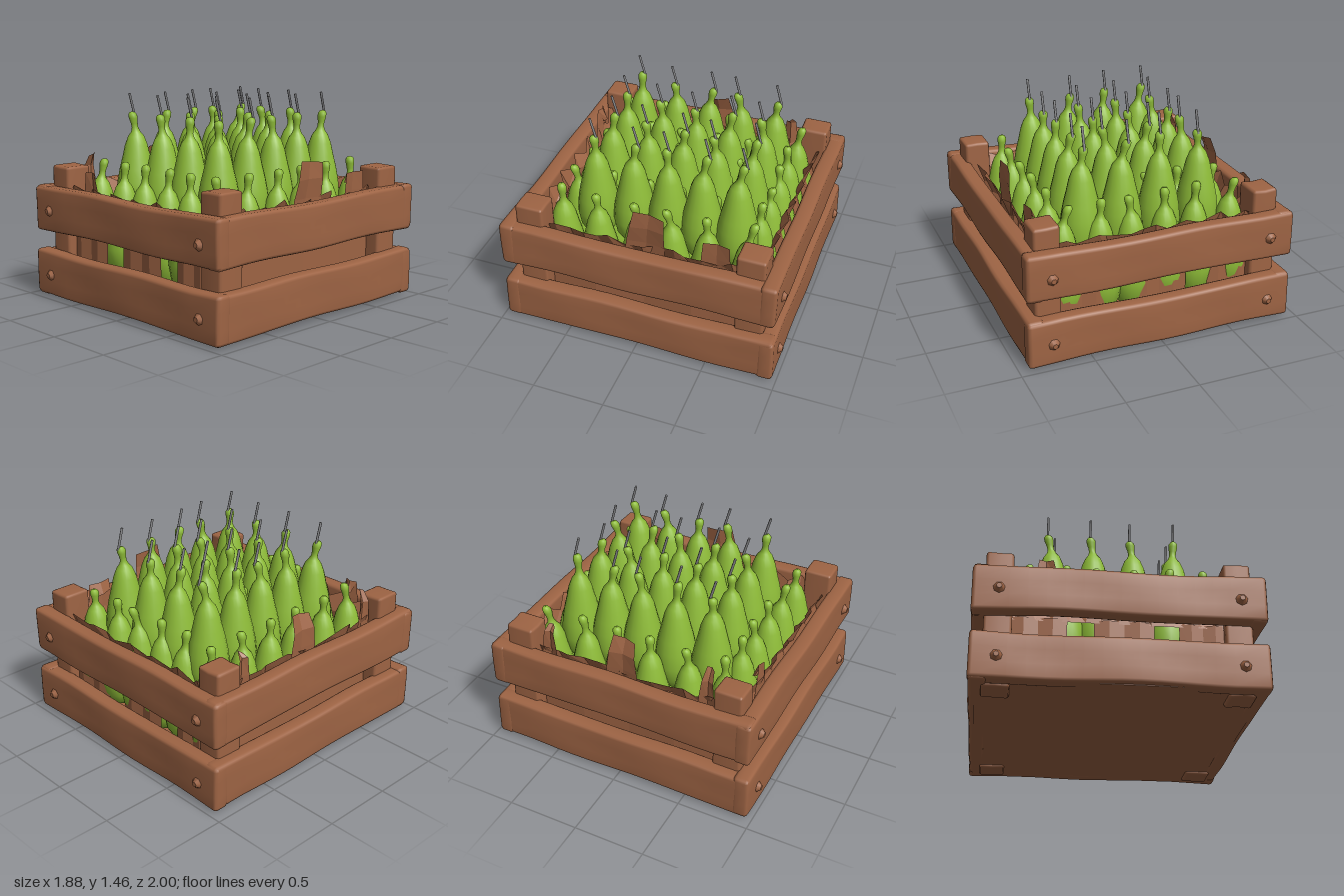
import * as THREE from 'three';
import { mergeVertices } from 'three/addons/utils/BufferGeometryUtils.js';

const wood = new THREE.MeshStandardMaterial({ name: 'brown wood', color: 0x9e6444, side: THREE.DoubleSide });
const skin = new THREE.MeshStandardMaterial({ name: 'green skin', color: 0x8ebc38 });
const grey = new THREE.MeshStandardMaterial({ name: 'grey stalk', color: 0x858587 });

let seed = 7;
const rand = () => (seed = (seed * 16807) % 2147483647) / 2147483647;
const jitter = (a) => (rand() * 2 - 1) * a;

function add(parent, name, geometry, material, x = 0, y = 0, z = 0) {
  const mesh = new THREE.Mesh(geometry, material);
  mesh.name = name;
  mesh.position.set(x, y, z);
  parent.add(mesh);
  return mesh;
}

// Worn timber: a box with softened edges and a slight wave along its length
function timber(w, h, d, r, segs, wave, phase) {
  const geo = new THREE.BoxGeometry(w, h, d, ...segs);
  const half = [w / 2, h / 2, d / 2];
  const p = geo.attributes.position;
  for (let i = 0; i < p.count; i++) {
    const v = [p.getX(i), p.getY(i), p.getZ(i)];
    const c = v.map((a, k) => {
      const ring = half[k] * (1 - 2 / segs[k]);
      if (Math.abs(Math.abs(a) - ring) < 1e-4) v[k] = Math.sign(a) * (half[k] - r);
      return THREE.MathUtils.clamp(v[k], r - half[k], half[k] - r);
    });
    const off = v.map((a, k) => a - c[k]);
    const len = Math.hypot(...off) || 1;
    const q = c.map((a, k) => a + (off[k] / len) * Math.min(len, r));
    const t = q[0] / half[0];
    q[1] += wave * (Math.sin(5 * t + phase) + Math.sign(q[1]) * (t * t - 0.5));
    q[2] += wave * 0.5 * Math.sin(7 * t + phase * 2 + q[1] * 9);
    p.setXYZ(i, ...q);
  }
  geo.deleteAttribute('uv');
  geo.deleteAttribute('normal');
  const merged = mergeVertices(geo, 1e-4);
  merged.computeVertexNormals();
  return merged;
}

// Open sheet from rows of [x, y, z] points
function sheet(rows) {
  const n = rows[0].length;
  const index = [];
  for (let j = 0; j < rows.length - 1; j++) {
    for (let i = 0; i < n - 1; i++) {
      const a = j * n + i;
      index.push(a, a + 1, a + n, a + 1, a + n + 1, a + n);
    }
  }
  const geo = new THREE.BufferGeometry();
  geo.setAttribute('position', new THREE.Float32BufferAttribute(rows.flat(2), 3));
  geo.setIndex(index);
  const flat = geo.toNonIndexed();
  flat.computeVertexNormals();
  return flat;
}

// Torn lining hanging inside one wall, facing local +z
function lining(parent, dist, flaps) {
  const rim = [[], [], []];
  for (let i = 0; i <= 14; i++) {
    const x = -0.74 + (1.48 * i) / 14;
    const zig = i % 2 ? 1 : -1;
    rim[0].push([x, 0.5, dist - 0.01]);
    rim[1].push([x + jitter(0.02), 0.68 + jitter(0.03), dist - 0.045 + zig * 0.02]);
    rim[2].push([x + jitter(0.03), 0.79 + zig * 0.025 + jitter(0.025), dist + zig * 0.025]);
  }
  add(parent, 'liningRim', sheet(rim), wood);
  for (const [a, b] of flaps) {
    const rows = [0.08, 0.35, 0.52].map((y) => [0, 1, 2, 3, 4].map((k) =>
      [a + ((b - a) * k) / 4, y, dist - 0.01 + (k % 2 ? 0.012 : -0.008)]));
    add(parent, 'liningFlap', sheet(rows), wood);
  }
}

// Splinter standing above a wall: base from x0 to x1, tip from t0 to t1
function splinter(parent, dist, x0, x1, t0, t1, top, lean) {
  const levels = [0.6, 0.8, 0.93, top];
  const bend = [0, 0.01, 0.02 + lean * 0.3, lean];
  const rows = levels.map((y, j) => [0, 0.5, 1].map((k) => {
    const f = j / 3;
    const x = THREE.MathUtils.lerp(THREE.MathUtils.lerp(x0, t0, f), THREE.MathUtils.lerp(x1, t1, f), k);
    return [x, y - (j === 3 ? 0.025 * k : 0), dist + bend[j] - (k === 0.5 ? 0.02 : 0)];
  }));
  add(parent, 'splinter', sheet(rows), wood);
}

// Fruit profile; y = 0 is the shoulder below the neck
const profile = [
  [0, -0.66], [0.08, -0.64], [0.13, -0.56], [0.148, -0.45], [0.137, -0.34], [0.12, -0.25], [0.1, -0.17],
  [0.08, -0.08], [0.057, -0.02], [0.034, 0.01], [0.023, 0.04], [0.024, 0.07], [0.031, 0.105],
  [0.031, 0.13], [0.02, 0.147], [0, 0.152],
].map(([x, y]) => new THREE.Vector2(x, y));

function fruit(parent, x, y, z, withStalk) {
  const group = new THREE.Group();
  group.name = 'fruit';
  group.position.set(x, y, z);
  const dx = jitter(0.035);
  const dz = jitter(0.035);
  const geo = new THREE.LatheGeometry(profile, 18);
  const p = geo.attributes.position;
  for (let i = 0; i < p.count; i++) {
    const f = Math.max(0, p.getY(i)) / 0.15;
    p.setX(i, p.getX(i) + dx * f);
    p.setZ(i, p.getZ(i) + dz * f);
  }
  add(group, 'body', geo, skin);
  if (withStalk) {
    const stalk = add(group, 'stalk', new THREE.CylinderGeometry(0.009, 0.009, 0.16, 6), grey, dx, 0.205, dz);
    stalk.rotation.x = 0.27;
  }
  parent.add(group);
}

export function createModel() {
  seed = 7;
  const model = new THREE.Group();
  model.name = 'fruitCrate';

  // Crate floor and corner posts
  add(model, 'floor', new THREE.BoxGeometry(1.8, 0.06, 1.88), wood, 0, 0.06, 0);
  for (const sx of [-1, 1]) {
    for (const sz of [-1, 1]) {
      add(model, 'cornerPost', timber(0.18, 0.94, 0.2, 0.02, [4, 6, 4], 0.003, sx + sz), wood, sx * 0.77, 0.48, sz * 0.775);
    }
  }

  // Four walls, each with two planks and an inner lining
  const walls = [
    { name: 'frontWall', turn: 0, length: 1.88, reach: 0.915, lining: 0.82, flaps: [[-0.7, -0.33], [-0.16, 0.23], [0.39, 0.7]] },
    { name: 'rightWall', turn: 1, length: 1.93, reach: 0.88, lining: 0.775, flaps: [[-0.7, 0.7]] },
    { name: 'backWall', turn: 2, length: 1.88, reach: 0.915, lining: 0.82, flaps: [[-0.7, -0.33], [-0.16, 0.23], [0.39, 0.7]] },
    { name: 'leftWall', turn: 3, length: 1.93, reach: 0.88, lining: 0.775, flaps: [[-0.7, 0.7]] },
  ];
  for (const w of walls) {
    const wall = new THREE.Group();
    wall.name = w.name;
    wall.rotation.y = (w.turn * Math.PI) / 2;
    for (const y of [0.185, 0.65]) {
      add(wall, 'plank', timber(w.length, 0.315, 0.115, 0.025, [16, 6, 4], 0.006, w.turn * 1.7 + y * 5), wood, 0, y, w.reach);
      if (w.turn % 2) continue;
      // Peg heads near the plank ends
      for (const s of [-1, 1]) {
        const peg = add(wall, 'peg', new THREE.CylinderGeometry(0.018, 0.05, 0.04, 7), wood, s * 0.77, y - 0.01, 0.98);
        peg.rotation.x = Math.PI / 2;
      }
    }
    lining(wall, w.lining, w.flaps);
    if (w.turn === 1) {
      splinter(wall, 0.76, -0.14, 0.16, -0.05, 0.16, 1.06, 0.02);
      splinter(wall, 0.76, 0.4, 0.62, 0.44, 0.6, 0.86, -0.02);
    }
    if (w.turn === 3) {
      splinter(wall, 0.78, 0.52, 0.66, 0.58, 0.63, 1.03, -0.03);
      splinter(wall, 0.78, -0.16, 0.1, -0.1, 0.06, 1.05, -0.03);
      splinter(wall, 0.78, -0.66, -0.52, -0.6, -0.56, 0.98, -0.03);
    }
    if (w.turn === 0) splinter(wall, 0.82, -0.56, -0.36, -0.5, -0.46, 0.85, -0.02);
    model.add(wall);
  }

  // Lower layer of fruit
  for (const z of [-0.68, -0.4, -0.15, 0.09, 0.38, 0.64]) {
    for (const x of [-0.6, -0.34, -0.12, 0.12, 0.34, 0.6]) fruit(model, x, 0.85, z, false);
  }
  // Upper layer of fruit with grey stalks
  for (const z of [-0.55, -0.3, -0.06, 0.19, 0.46]) {
    for (const x of [-0.42, -0.135, 0.14, 0.42]) fruit(model, x, 1.18, z, true);
  }
  return model;
}
